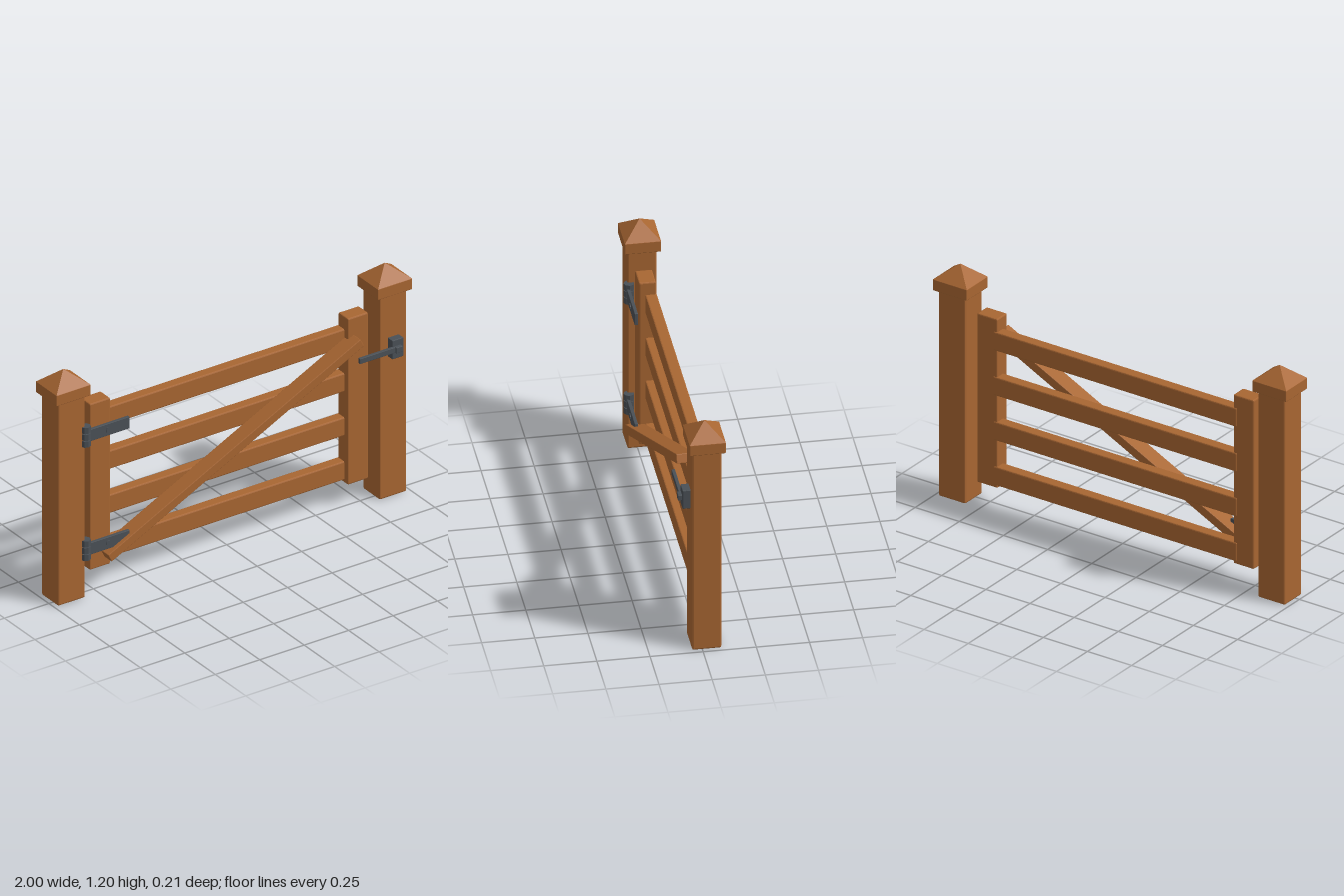
import * as THREE from 'three';
import { RoundedBoxGeometry } from 'three/addons/geometries/RoundedBoxGeometry.js';

const wood = new THREE.MeshStandardMaterial({ color: 0xa86632 });
wood.name = 'wood';
const iron = new THREE.MeshStandardMaterial({ color: 0x4a5056 });
iron.name = 'iron';

// Faceted normals for crisp edges
function flat(geometry) {
  const g = geometry.index ? geometry.toNonIndexed() : geometry;
  g.computeVertexNormals();
  return g;
}

function add(parent, name, geometry, material, x, y, z) {
  const mesh = new THREE.Mesh(flat(geometry), material);
  mesh.name = name;
  mesh.position.set(x, y, z);
  parent.add(mesh);
  return mesh;
}

// Box with small chamfers, given by its limits on each axis
function block(parent, name, material, [x0, x1], [y0, y1], [z0, z1], bevel = 0.006) {
  const g = new RoundedBoxGeometry(x1 - x0, y1 - y0, z1 - z0, 1, bevel);
  return add(parent, name, g, material, (x0 + x1) / 2, (y0 + y1) / 2, (z0 + z1) / 2);
}

// Gate post with a pyramid cap
function makePost(x, name) {
  const post = new THREE.Group();
  post.name = name;
  post.position.x = x;
  block(post, 'postShaft', wood, [-0.076, 0.076], [0, 1.08], [-0.09, 0.048], 0.008);
  block(post, 'capBase', wood, [-0.096, 0.096], [1.07, 1.128], [-0.107, 0.063], 0.003);
  const pyramid = new THREE.ConeGeometry(Math.SQRT1_2, 1, 4);
  pyramid.rotateY(Math.PI / 4);
  pyramid.scale(0.192, 0.075, 0.17);
  add(post, 'capPyramid', pyramid, wood, 0, 1.1645, -0.022);
  return post;
}

// Strap hinge: knuckles on a pin, tongue and bolt
function makeHinge(y, name) {
  const hinge = new THREE.Group();
  hinge.name = name;
  hinge.position.y = y;
  add(hinge, 'hingePin', new THREE.CylinderGeometry(0.018, 0.018, 0.1, 8), iron, -0.823, 0, 0.042);
  for (const dy of [-0.036, 0, 0.036]) {
    add(hinge, 'hingeKnuckle', new THREE.CylinderGeometry(0.025, 0.025, 0.032, 8), iron, -0.823, dy, 0.042);
  }
  block(hinge, 'hingeStrap', iron, [-0.815, -0.583], [-0.031, 0.031], [0.039, 0.055], 0.002);
  const bolt = new THREE.CylinderGeometry(0.015, 0.015, 0.006, 10);
  bolt.rotateX(Math.PI / 2);
  add(hinge, 'hingeBolt', bolt, iron, -0.703, 0, 0.056);
  return hinge;
}

export function createModel() {
  const model = new THREE.Group();
  model.name = 'fieldGate';

  for (const side of [-1, 1]) {
    model.add(makePost(side * 0.904, side < 0 ? 'rightPost' : 'leftPost'));
  }

  // Swinging leaf: two stiles, four rails and a diagonal brace
  const leaf = new THREE.Group();
  leaf.name = 'gateLeaf';
  model.add(leaf);
  block(leaf, 'rightStile', wood, [-0.783, -0.668], [0.117, 0.995], [-0.06, 0.02]);
  block(leaf, 'leftStile', wood, [0.668, 0.783], [0.117, 0.995], [-0.06, 0.02]);
  for (let i = 0; i < 4; i++) {
    const y = 0.18 + i * 0.2333;
    block(leaf, 'rail', wood, [-0.69, 0.69], [y - 0.0485, y + 0.0485], [-0.064, -0.009]);
  }
  const start = new THREE.Vector2(-0.709, 0.182);
  const end = new THREE.Vector2(0.711, 0.883);
  const span = end.clone().sub(start);
  const brace = add(leaf, 'diagonalBrace', new RoundedBoxGeometry(span.length(), 0.045, 0.086, 1, 0.003),
    wood, (start.x + end.x) / 2, (start.y + end.y) / 2, 0.034);
  brace.rotation.z = span.angle();

  model.add(makeHinge(0.853, 'upperHinge'), makeHinge(0.253, 'lowerHinge'));

  // Latch: plate on the post, bar reaching over the stile, and pivot
  const latch = new THREE.Group();
  latch.name = 'latch';
  model.add(latch);
  block(latch, 'latchPlate', iron, [0.873, 0.936], [0.747, 0.846], [0.046, 0.086], 0.003);
  block(latch, 'latchBar', iron, [0.685, 0.915], [0.785, 0.813], [0.08, 0.096], 0.002);
  block(latch, 'latchPivot', iron, [0.883, 0.921], [0.784, 0.814], [0.08, 0.105], 0.003);

  return model;
}
